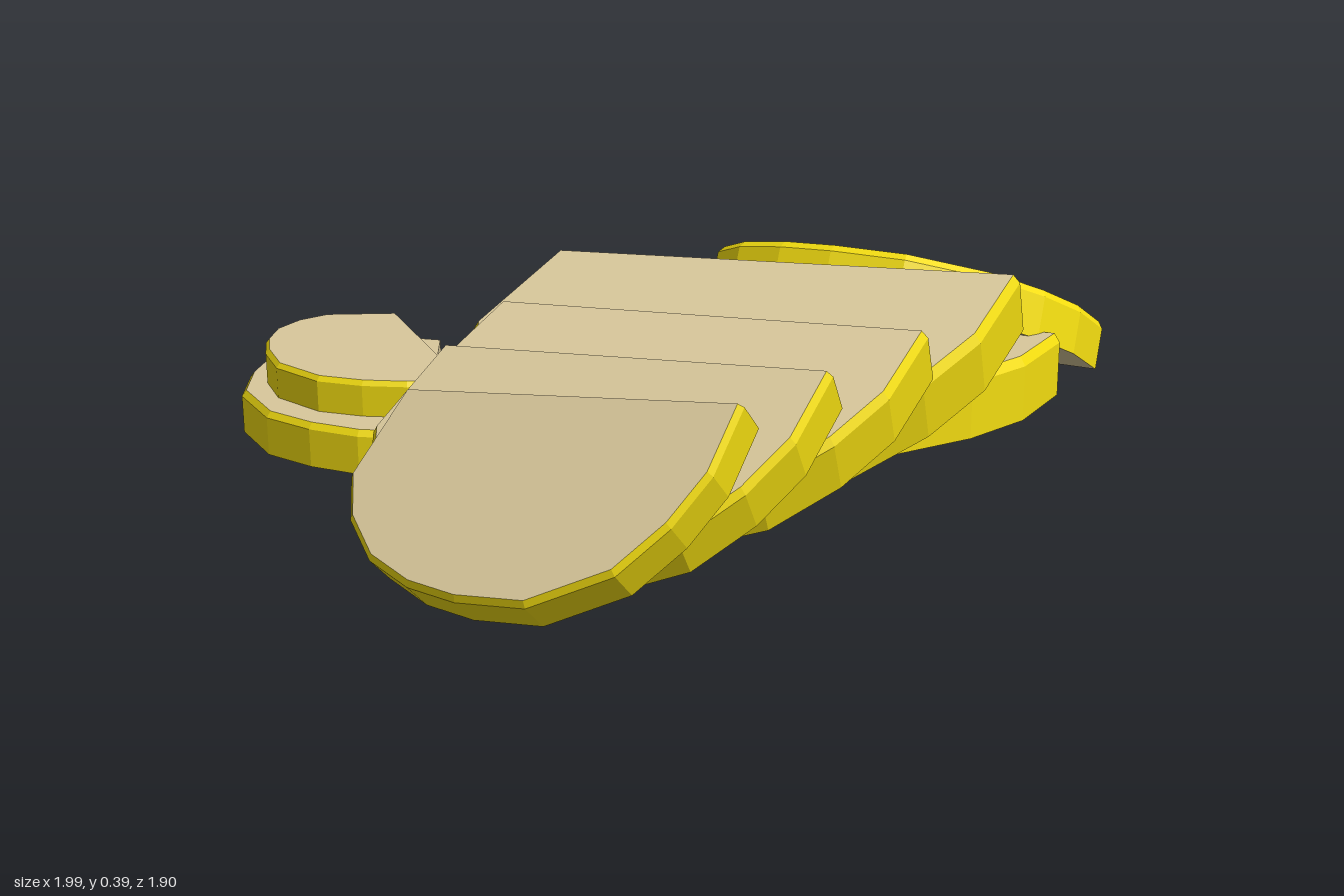
import * as THREE from 'three';

const flesh = new THREE.MeshStandardMaterial({ color: 0xd9c89b, flatShading: true });
const rind = new THREE.MeshStandardMaterial({ color: 0xf2dc10, flatShading: true });

// Half-slice outline for a cut edge one unit long: [along the edge, away from it]
const OUTLINE = [
  [0, 0], [-0.09, 0.265], [-0.05, 0.39], [0.045, 0.5], [0.18, 0.565], [0.33, 0.595],
  [0.535, 0.595], [0.76, 0.49], [0.88, 0.35], [0.96, 0.2], [1, 0],
];
const THICKNESS = 0.14;

// Outline at a given height, scaled about the middle of the cut edge
function ring(height, scale) {
  return OUTLINE.map(([s, d]) => new THREE.Vector3((s - 0.5) * scale, height, d * scale));
}

// Flat-shaded mesh from convex polygons, each split into a fan
function polygonMesh(polygons, material, name) {
  const points = [];
  for (const p of polygons) {
    for (let i = 1; i < p.length - 1; i++) points.push(p[0], p[i], p[i + 1]);
  }
  const geometry = new THREE.BufferGeometry().setFromPoints(points);
  geometry.computeVertexNormals();
  const mesh = new THREE.Mesh(geometry, material);
  mesh.name = name;
  return mesh;
}

// left and right are the ends of the upper cut edge; tilt lowers the round side
function makeSlice(name, left, right, tiltDegrees) {
  const a = new THREE.Vector3(...left);
  const b = new THREE.Vector3(...right);
  const length = a.distanceTo(b);

  const low = ring(-THICKNESS, 1.015);
  const shoulder = ring(-0.02, 1.015);
  const top = ring(0, 0.99);
  const end = OUTLINE.length - 1;

  // Rind: side wall and narrow chamfer
  const rim = [];
  for (let i = 0; i < end; i++) {
    rim.push([low[i], low[i + 1], shoulder[i + 1], shoulder[i]]);
    rim.push([shoulder[i], shoulder[i + 1], top[i + 1], top[i]]);
  }
  // Flesh: both faces and the straight cut
  const cut = [low[end], low[0], shoulder[0], top[0], top[end], shoulder[end]];
  const faces = [top, [...low].reverse(), cut];

  const slice = new THREE.Group();
  slice.name = name;
  slice.add(polygonMesh(rim, rind, 'rind'), polygonMesh(faces, flesh, 'flesh'));

  // Frame: along the cut edge, out of the face, towards the round side
  const along = b.clone().sub(a).normalize();
  const tilt = THREE.MathUtils.degToRad(tiltDegrees);
  const out = new THREE.Vector3(-along.z, 0, along.x).normalize().multiplyScalar(Math.cos(tilt));
  out.y = -Math.sin(tilt);
  const normal = out.cross(along).normalize();
  const away = along.clone().cross(normal);
  slice.quaternion.setFromRotationMatrix(new THREE.Matrix4().makeBasis(along, normal, away));
  slice.position.copy(a).add(b).multiplyScalar(0.5);
  slice.scale.setScalar(length);
  return slice;
}

export function createModel() {
  const model = new THREE.Group();
  model.name = 'slicedFruit';
  const slices = [
    // Overlapping row, front to back
    ['rowSlice1', [-0.56, 0.335, 0.52], [0.03, 0.39, 0.80], 46],
    ['rowSlice2', [-0.51, 0.345, 0.27], [0.205, 0.375, 0.57], 35],
    ['rowSlice3', [-0.415, 0.345, -0.05], [0.42, 0.365, 0.28], 26],
    ['rowSlice4', [-0.305, 0.36, -0.43], [0.66, 0.39, -0.05], 22.5],
    ['flatSlice', [-0.15, 0.16, -0.77], [0.83, 0.16, -0.40], 0],
    // Slice propped on the back of the row
    ['leaningSlice', [0.22, 0.15, -0.96], [0.99, 0.115, -0.65], -27],
    // Small pair lying apart
    ['sideSliceLower', [-0.59, 0.113, -0.57], [-0.57, 0.113, 0.11], 0],
    ['sideSliceUpper', [-0.69, 0.19, -0.53], [-0.50, 0.19, -0.01], 0],
  ];
  for (const s of slices) model.add(makeSlice(...s));
  return model;
}
